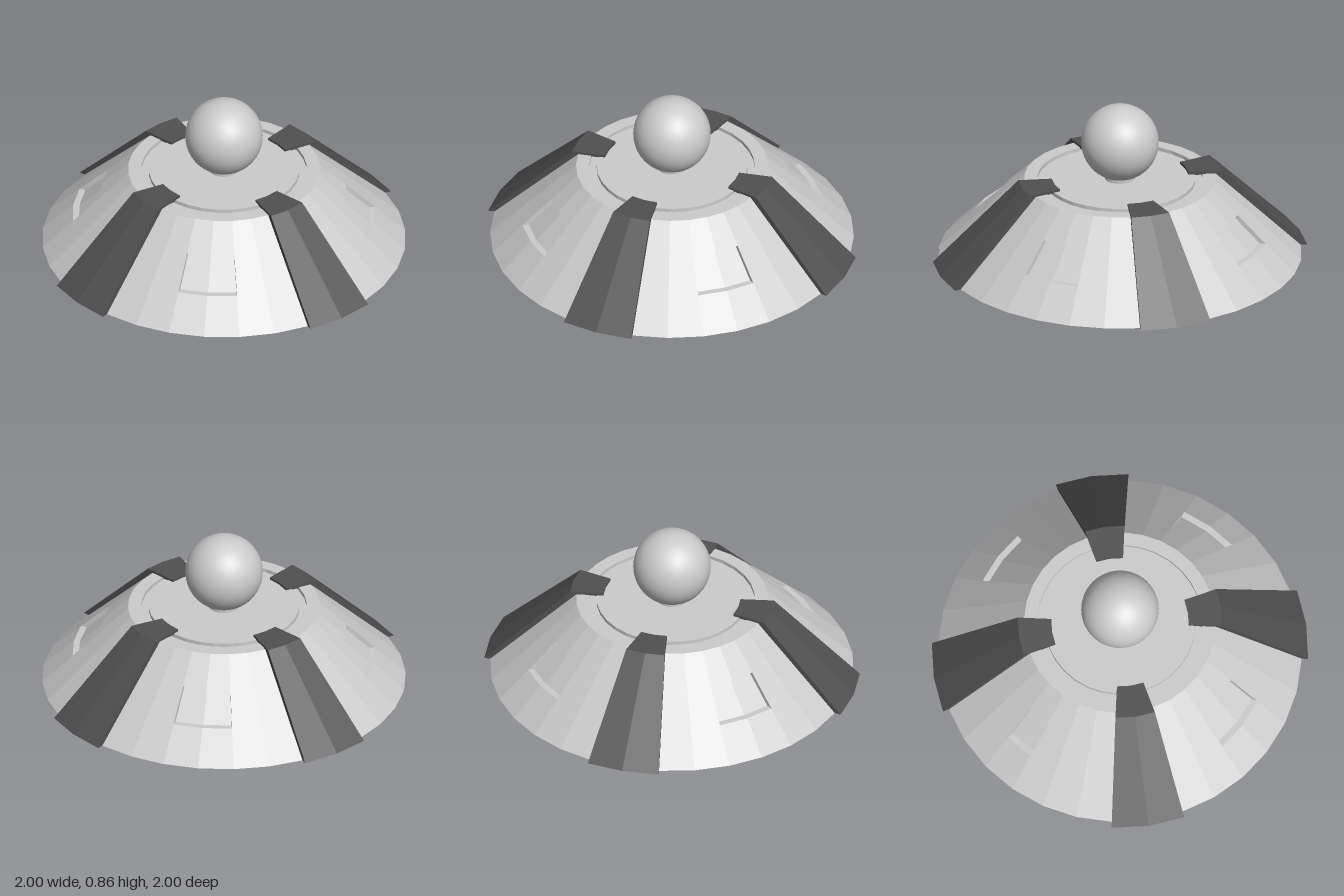
import * as THREE from 'three';

const STEP = Math.PI / 16; // 32-sided body
const grey = new THREE.MeshStandardMaterial({ color: 0xcccccc, flatShading: true });
const greyThin = new THREE.MeshStandardMaterial({ color: 0xcccccc, flatShading: true, side: THREE.DoubleSide });
const dark = new THREE.MeshStandardMaterial({ color: 0x505050, flatShading: true, side: THREE.DoubleSide });
const smooth = new THREE.MeshStandardMaterial({ color: 0xcccccc });

const points = (list) => list.map(([r, y]) => new THREE.Vector2(r, y));

function add(parent, name, geometry, material) {
  const mesh = new THREE.Mesh(geometry, material);
  mesh.name = name;
  parent.add(mesh);
  return mesh;
}

// Sweep an (r, y) profile around the axis, from one step to another
function sweep(profile, from, count) {
  const g = new THREE.LatheGeometry(points(profile), count, from * STEP, count * STEP).toNonIndexed();
  g.computeVertexNormals();
  return g;
}

// Flat radial wall with the outline of an (r, y) profile
function wall(profile, at) {
  return new THREE.ShapeGeometry(new THREE.Shape(points(profile))).rotateY(at * STEP - Math.PI / 2);
}

export function createModel() {
  const model = new THREE.Group();
  model.name = 'domedBase';

  const R0 = 0.966, R1 = 0.51, TOP = 0.44;
  const slope = (y) => R0 + (R1 - R0) * y / TOP;

  // Profile of the top deck with its ring groove, from rim to axis
  const deck = [[R1, TOP], [0.44, TOP], [0.44, 0.42], [0.40, 0.42], [0.40, TOP], [0, TOP]];
  const plain = [[0, 0], [R0, 0], ...deck];

  // Window recess cut into the slope
  const low = 0.155, high = 0.305, depth = 0.033;
  const recess = [
    [slope(low), low], [slope(low) - depth, low],
    [slope(high) - depth, high], [slope(high), high],
  ];
  const notched = [[0, 0], [R0, 0], ...recess, ...deck];

  // Closed profile of a strap lying on the slope and folding over the deck
  const strap = [[0.93, 0], [1, 0], [0.543, 0.453], [0.365, 0.453], [0.365, 0.436], [0.5, 0.436], [0.93, 0]];

  for (let q = 0; q < 4; q++) {
    const quarter = new THREE.Group();
    quarter.name = 'quarter' + (q + 1);
    quarter.rotation.y = q * Math.PI / 2;
    model.add(quarter);

    // Body: plain facets on both sides of a recessed pair
    add(quarter, 'bodyBeforeWindow', sweep(plain, 0, 3), grey);
    add(quarter, 'bodyWithWindow', sweep(notched, 3, 2), grey);
    add(quarter, 'bodyAfterWindow', sweep(plain, 5, 3), grey);
    for (const at of [3, 5]) add(quarter, 'windowSide', wall(recess, at), greyThin);

    // Dark strap
    add(quarter, 'strap', sweep(strap, -1, 2), dark);
    for (const at of [-1, 1]) add(quarter, 'strapSide', wall(strap.slice(0, -1), at), dark);
  }

  // Ball on a short neck
  add(model, 'neck', new THREE.CylinderGeometry(0.08, 0.08, 0.05, 32), smooth).position.y = 0.45;
  add(model, 'ball', new THREE.SphereGeometry(0.206, 48, 32), smooth).position.y = 0.649;

  return model;
}
